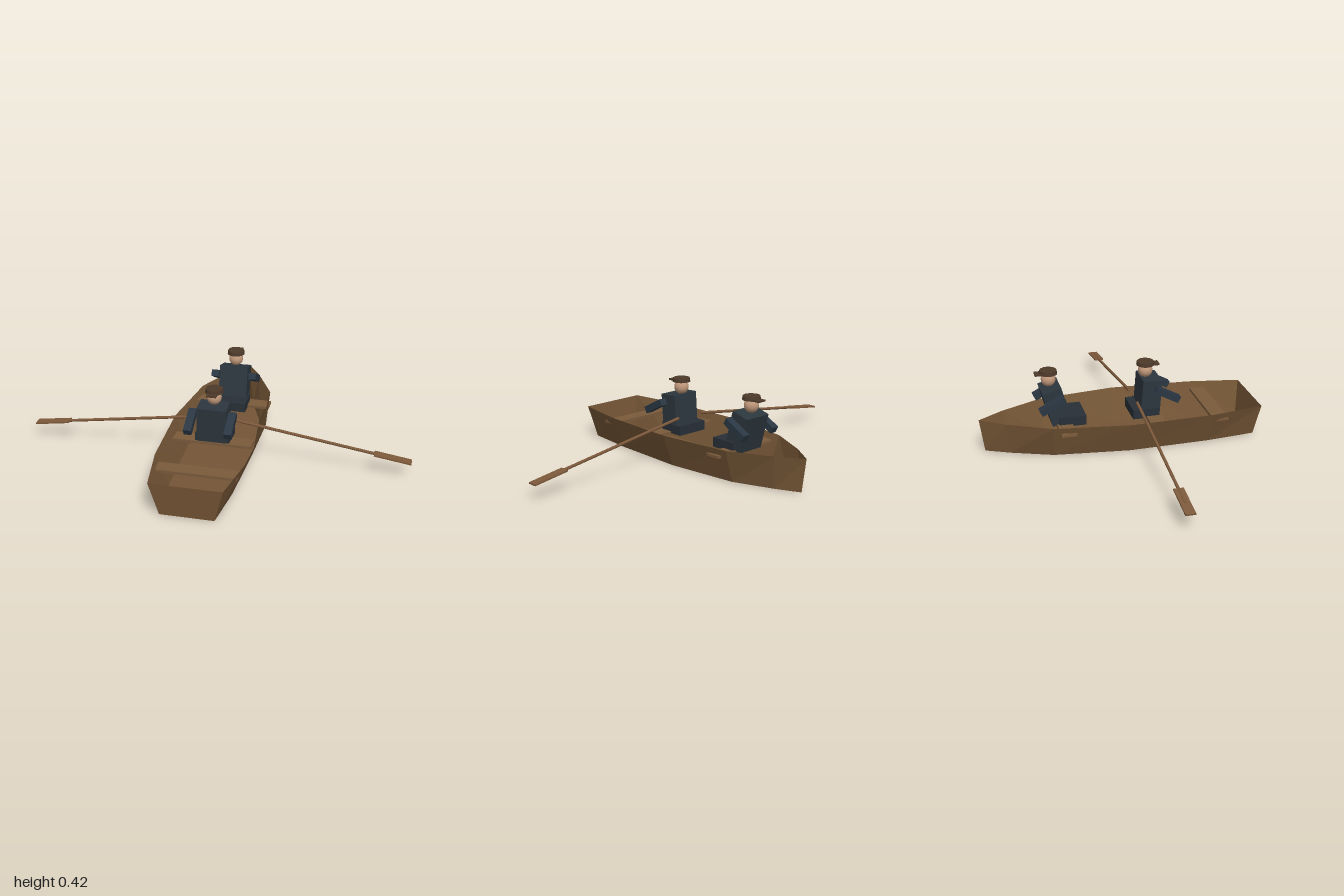
import * as THREE from 'three';

const mat = (name, color, extra = {}) =>
  Object.assign(new THREE.MeshStandardMaterial({ color, ...extra }), { name });

export function createModel() {
  const hullWood = mat('hull wood', 0x755636, { side: THREE.DoubleSide });
  const benchWood = mat('bench wood', 0x7a5a3b);
  const oarWood = mat('oar wood', 0x7d593b);
  const coat = mat('coat', 0x2c363e);
  const sleeve = mat('sleeve', 0x2a3744);
  const trousers = mat('trousers', 0x272f37);
  const skin = mat('skin', 0xbf977a);
  const felt = mat('cap felt', 0x4d3a2a);

  const model = new THREE.Group();
  model.name = 'rowingBoat';

  const add = (parent, name, geometry, material, x = 0, y = 0, z = 0, rx = 0, rz = 0) => {
    const mesh = new THREE.Mesh(geometry, material);
    mesh.name = name;
    mesh.position.set(x, y, z);
    mesh.rotation.set(rx, 0, rz);
    parent.add(mesh);
    return mesh;
  };
  const box = (w, h, d) => new THREE.BoxGeometry(w, h, d);

  // Hull cross-sections, stern to bow: [rim z, rim half width, floor z, floor half width]
  const stations = [
    [0.73, 0.18, 0.707, 0.135],
    [0.45, 0.226, 0.44, 0.163],
    [0.02, 0.243, 0.02, 0.177],
    [-0.38, 0.192, -0.37, 0.135],
    [-0.6, 0.086, -0.58, 0.057],
    [-0.73, 0, -0.705, 0],
  ];
  const rimY = 0.175;
  const positions = [];
  const quad = (a, b, c, d) => positions.push(...a, ...b, ...c, ...a, ...c, ...d);
  const rim = (s, side) => [side * s[1], rimY, s[0]];
  const floor = (s, side) => [side * s[3], 0, s[2]];
  for (let i = 0; i < stations.length - 1; i++) {
    const s = stations[i], t = stations[i + 1];
    quad(floor(s, 1), floor(t, 1), rim(t, 1), rim(s, 1));
    quad(floor(t, -1), floor(s, -1), rim(s, -1), rim(t, -1));
    quad(floor(s, -1), floor(t, -1), floor(t, 1), floor(s, 1));
  }
  // Transom
  const stern = stations[0];
  quad(floor(stern, -1), floor(stern, 1), rim(stern, 1), rim(stern, -1));
  const hull = new THREE.BufferGeometry();
  hull.setAttribute('position', new THREE.Float32BufferAttribute(positions, 3));
  hull.computeVertexNormals();
  add(model, 'hull', hull, hullWood);

  // Benches
  for (const z of [0.5, 0.17, -0.3]) add(model, 'bench', box(0.41, 0.014, 0.08), benchWood, 0, 0.134, z);

  // Oars, sloping down and outwards
  const slope = Math.atan(0.148);
  for (const side of [-1, 1]) {
    const oar = new THREE.Group();
    oar.name = side > 0 ? 'leftOar' : 'rightOar';
    oar.position.set(side * 0.08, 0.22, 0.083);
    oar.rotation.z = -side * slope;
    add(oar, 'shaft', new THREE.CylinderGeometry(0.008, 0.008, 0.85, 8), oarWood, side * 0.425, 0, 0, 0, Math.PI / 2);
    add(oar, 'blade', box(0.19, 0.008, 0.05), oarWood, side * 0.835, 0, 0);
    model.add(oar);
  }

  // Seated figures; dir is the way the arms and cap peak point along z
  const addFigure = (name, dir, { torsoZ, lean, lapZ, headZ, armZ }) => {
    const figure = new THREE.Group();
    figure.name = name;
    add(figure, 'torso', box(0.154, 0.19, 0.102), coat, 0, 0.236, torsoZ, lean);
    add(figure, 'lap', box(0.178, 0.05, 0.14), trousers, 0, 0.156, lapZ);
    for (const side of [-1, 1])
      add(figure, side > 0 ? 'leftArm' : 'rightArm', box(0.04, 0.036, 0.14), sleeve,
        side * 0.103, 0.263, armZ, dir * 0.49);
    add(figure, 'head', new THREE.SphereGeometry(0.038, 20, 14), skin, 0, 0.367, headZ);
    add(figure, 'cap', new THREE.CylinderGeometry(0.044, 0.047, 0.02, 16), felt, 0, 0.406, headZ);
    add(figure, 'capPeak', box(0.05, 0.008, 0.05), felt, 0, 0.399, headZ + dir * 0.046);
    model.add(figure);
  };
  addFigure('sternFigure', 1, { torsoZ: 0.16, lean: 0.07, lapZ: 0.13, headZ: 0.145, armZ: 0.236 });
  addFigure('bowFigure', -1, { torsoZ: -0.337, lean: -0.265, lapZ: -0.258, headZ: -0.366, armZ: -0.365 });

  return model;
}
